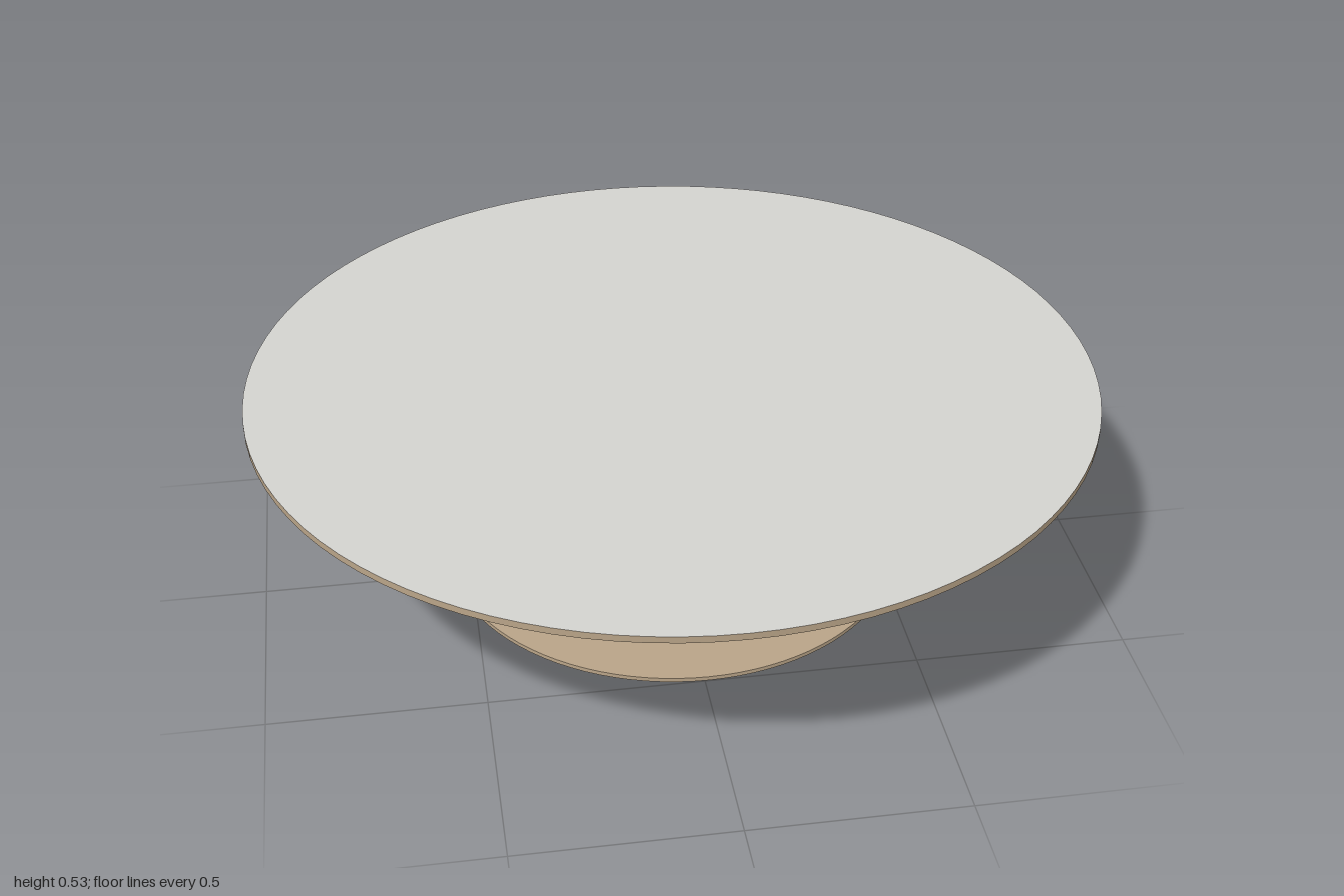
import * as THREE from 'three';

export function createModel() {
  const model = new THREE.Group();
  const wood = new THREE.MeshStandardMaterial({ color: 0xb9a488 });
  wood.name = 'warm wood';
  const stone = new THREE.MeshStandardMaterial({ color: 0xd4d3cf });
  stone.name = 'pale grey top';

  // Round section from y0 to y1; the top cap may have its own colour
  function disc(parent, name, rBottom, rTop, y0, y1, cap = wood) {
    const geometry = new THREE.CylinderGeometry(rTop, rBottom, y1 - y0, 96);
    const mesh = new THREE.Mesh(geometry, [wood, cap, wood]);
    mesh.name = name;
    mesh.position.y = (y0 + y1) / 2;
    parent.add(mesh);
  }

  // Plate with a straight rim above an undercut bevel
  function bevelledPlate(name, rBottom, rTop, y0, yRim, y1, cap) {
    const plate = new THREE.Group();
    plate.name = name;
    disc(plate, name + 'Bevel', rBottom, rTop, y0, yRim);
    disc(plate, name + 'Rim', rTop, rTop, yRim, y1, cap);
    model.add(plate);
  }

  bevelledPlate('base', 0.49, 0.55, 0, 0.043, 0.053);
  disc(model, 'column', 0.147, 0.147, 0.053, 0.44);
  disc(model, 'collar', 0.4, 0.4, 0.44, 0.473);
  bevelledPlate('tabletop', 0.895, 1, 0.473, 0.511, 0.527, stone);

  return model;
}
